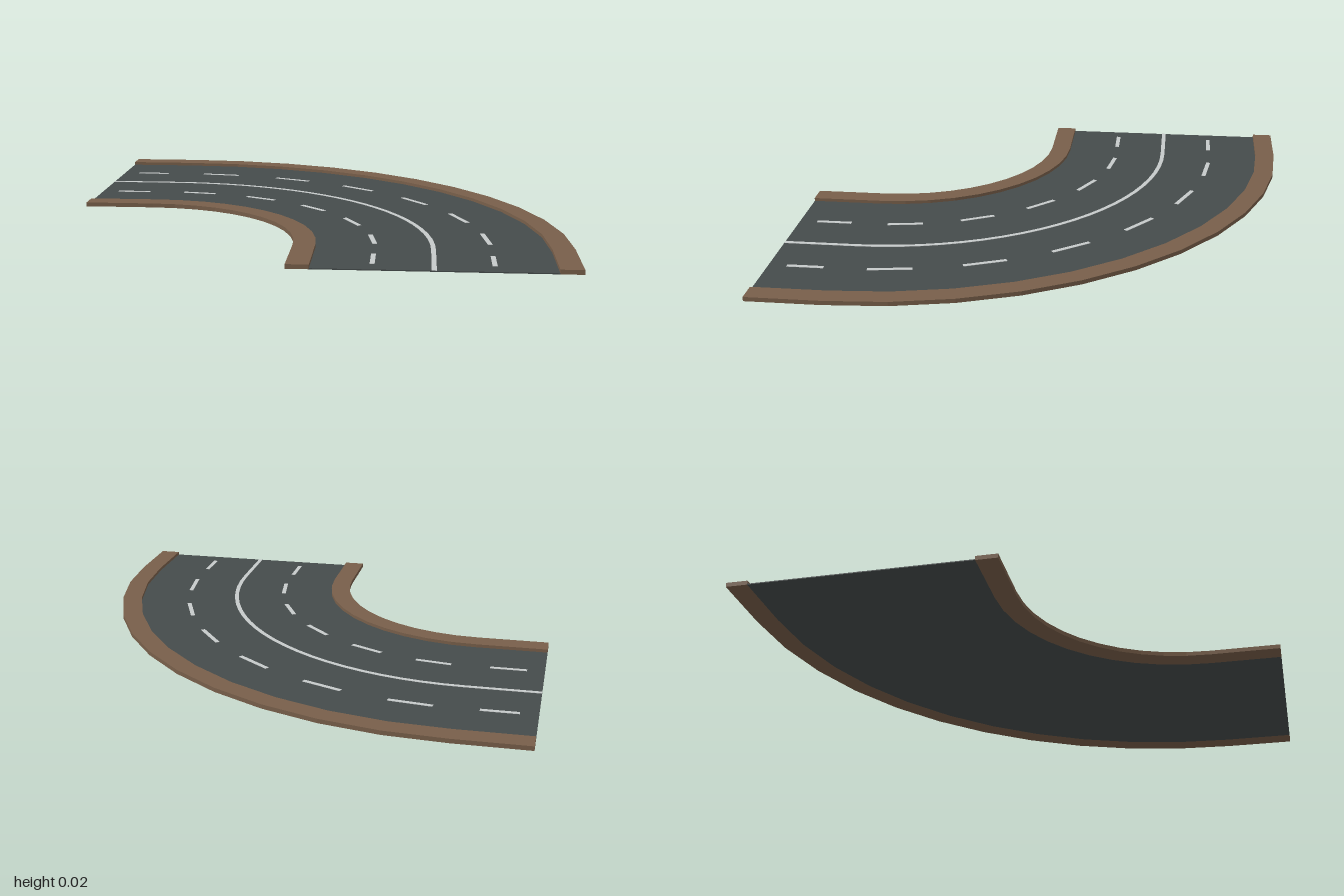
import * as THREE from 'three';

const C = 0.71;            // bend centre sits at x = -C, z = C
const ROAD_TOP = 0.004;
const CURB_TOP = 0.017;
const LINE_WIDTH = 0.018;
const PAINT = 0.0015;

// Edge of the bend at radius r: straight lead-in, quarter arc, straight lead-out
function edge(r, segments) {
  const points = [new THREE.Vector2(-1, r - C)];
  for (let i = 0; i <= segments; i++) {
    const a = (i / segments) * Math.PI / 2;
    points.push(new THREE.Vector2(-C + r * Math.sin(a), -C + r * Math.cos(a)));
  }
  points.push(new THREE.Vector2(r - C, -1));
  return points;
}

// Flat band between two radii, extruded upwards
function band(inner, outer, bottom, height, segments) {
  const shape = new THREE.Shape([...edge(outer, segments), ...edge(inner, segments).reverse()]);
  const geometry = new THREE.ExtrudeGeometry(shape, { depth: height, bevelEnabled: false });
  geometry.rotateX(-Math.PI / 2);
  geometry.translate(0, bottom, 0);
  return geometry;
}

export function createModel() {
  const asphalt = new THREE.MeshStandardMaterial({ name: 'asphalt', color: 0x454b4b });
  const curbBrown = new THREE.MeshStandardMaterial({ name: 'curbBrown', color: 0x785f4a });
  const linePaint = new THREE.MeshStandardMaterial({ name: 'linePaint', color: 0xc6caca });

  const model = new THREE.Group();
  model.name = 'curvedRoad';
  const add = (name, geometry, material, parent = model) => {
    const mesh = new THREE.Mesh(geometry, material);
    mesh.name = name;
    parent.add(mesh);
    return mesh;
  };

  // Road surface and raised curbs
  add('roadSurface', band(0.75, 1.625, 0, ROAD_TOP, 11), asphalt);
  add('innerCurb', band(0.665, 0.75, 0, CURB_TOP, 11), curbBrown);
  add('outerCurb', band(1.625, 1.71, 0, CURB_TOP, 11), curbBrown);

  // Solid centre line
  const mid = 1.19;
  add('centreLine', band(mid - LINE_WIDTH / 2, mid + LINE_WIDTH / 2, ROAD_TOP, PAINT, 22), linePaint);

  // Dashed lane lines: one dash on each straight, the rest spaced round the arc
  const lanes = [
    { name: 'innerLaneDashes', radius: 0.97, count: 5, length: 0.147 },
    { name: 'outerLaneDashes', radius: 1.405, count: 6, length: 0.174 },
  ];
  for (const { name, radius, count, length } of lanes) {
    const group = new THREE.Group();
    group.name = name;
    model.add(group);
    const dash = (x, z, angle, size) => {
      const mesh = add('laneDash', new THREE.BoxGeometry(size, PAINT, LINE_WIDTH), linePaint, group);
      mesh.position.set(x, ROAD_TOP + PAINT / 2, z);
      mesh.rotation.y = -angle;
    };
    dash(-0.858, C - radius, 0, 0.145);
    for (let i = 0; i < count; i++) {
      const a = ((i + 0.5) / count) * Math.PI / 2;
      dash(-C + radius * Math.sin(a), C - radius * Math.cos(a), a, length);
    }
    dash(radius - C, 0.855, Math.PI / 2, 0.145);
  }
  return model;
}
